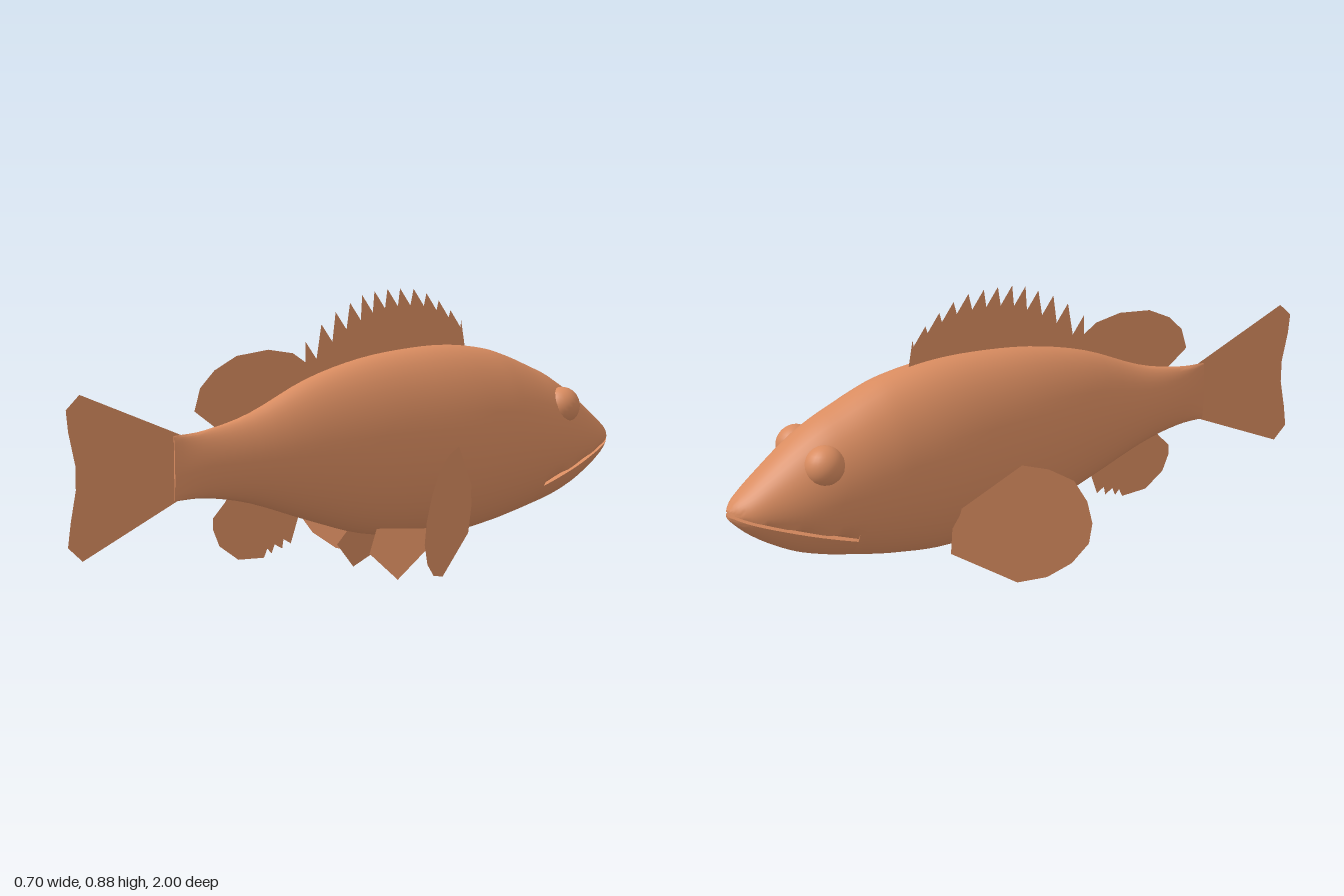
import * as THREE from 'three';
import { toCreasedNormals } from 'three/addons/utils/BufferGeometryUtils.js';

const skin = new THREE.MeshStandardMaterial({ color: 0xd98c60, side: THREE.DoubleSide });
skin.name = 'copper skin';

const SIDES = 36, STEPS = 4, MOUTH_KEY = 9;

// Body stations from tail to snout: z, top, bottom, half width
const KEYS = [
  [0.655, 0.495, 0.305, 0.006], [0.55, 0.503, 0.303, 0.034], [0.4, 0.54, 0.272, 0.066],
  [0.2, 0.625, 0.2, 0.105], [0, 0.675, 0.135, 0.136], [-0.2, 0.695, 0.108, 0.156],
  [-0.35, 0.694, 0.102, 0.165], [-0.48, 0.675, 0.118, 0.164], [-0.56, 0.65, 0.133, 0.16],
  [-0.645, 0.614, 0.153, 0.153], [-0.72, 0.58, 0.172, 0.143], [-0.8, 0.53, 0.2, 0.125],
  [-0.88, 0.47, 0.243, 0.099], [-0.94, 0.422, 0.285, 0.073], [-0.975, 0.394, 0.317, 0.045],
  [-0.997, 0.37, 0.342, 0.012],
];
const upper = new THREE.CatmullRomCurve3(KEYS.map(k => new THREE.Vector3(k[3], k[1], k[0])), false, 'catmullrom');
const lower = new THREE.CatmullRomCurve3(KEYS.map(k => new THREE.Vector3(k[3], k[2], k[0])), false, 'catmullrom');
const mouthY = z => 0.237 + (-0.645 - z) * 0.345;

// Oval section; side +1 keeps what lies above the mouth, -1 what lies below
function ring(step, side = 0) {
  const t = step / ((KEYS.length - 1) * STEPS);
  const a = upper.getPoint(t), b = lower.getPoint(t);
  const cy = (a.y + b.y) / 2, h = (a.y - b.y) / 2, w = a.x;
  const cut = mouthY(a.z) + side * 0.005;
  const limit = w * Math.sqrt(Math.max(0, 1 - ((cut - cy) / h) ** 2));
  const points = [];
  for (let j = 0; j < SIDES; j++) {
    const angle = j / SIDES * Math.PI * 2;
    let x = w * Math.sin(angle), y = cy + h * Math.cos(angle);
    if (side && (y - cut) * side < 0) {
      y = cut;
      x = THREE.MathUtils.clamp(x, -limit, limit);
    }
    points.push([x, y, a.z]);
  }
  return points;
}

// Closed skin through a list of rings
function loft(rings) {
  const pos = rings.flat(2), index = [], last = rings.length - 1;
  const at = (i, j) => i * SIDES + j % SIDES;
  for (let i = 0; i < last; i++) {
    for (let j = 0; j < SIDES; j++) {
      index.push(at(i, j), at(i, j + 1), at(i + 1, j), at(i, j + 1), at(i + 1, j + 1), at(i + 1, j));
    }
  }
  for (const i of [0, last]) {
    const c = pos.length / 3;
    const mid = [0, (rings[i][0][1] + rings[i][SIDES / 2][1]) / 2, rings[i][0][2]];
    pos.push(...mid);
    for (let j = 0; j < SIDES; j++) {
      index.push(c, ...(i ? [at(i, j), at(i, j + 1)] : [at(i, j + 1), at(i, j)]));
    }
  }
  const geo = new THREE.BufferGeometry();
  geo.setAttribute('position', new THREE.Float32BufferAttribute(pos, 3));
  geo.setIndex(index);
  return toCreasedNormals(geo, 0.7);
}

const outline = pts => new THREE.ShapeGeometry(new THREE.Shape(pts.map(p => new THREE.Vector2(...p))));
// Fin on the middle plane, outlined as z, y
const sideFin = pts => outline(pts).rotateY(-Math.PI / 2);

// Move each vertex by a rule along one axis
function lean(geo, rule) {
  const p = geo.attributes.position;
  for (let i = 0; i < p.count; i++) p.setXYZ(i, ...rule(p.getX(i), p.getY(i), p.getZ(i)));
  geo.computeVertexNormals();
  return geo;
}

export function createModel() {
  const model = new THREE.Group();
  model.name = 'fish';
  const add = (name, geo, parent = model) => {
    const mesh = new THREE.Mesh(geo, skin);
    mesh.name = name;
    parent.add(mesh);
    return mesh;
  };

  // Body with the upper head, and the lower jaw below the mouth slit
  const mouthStep = MOUTH_KEY * STEPS, end = (KEYS.length - 1) * STEPS;
  const bodyRings = [], jawRings = [];
  for (let s = 0; s <= mouthStep; s++) bodyRings.push(ring(s));
  for (let s = mouthStep; s <= end; s++) {
    bodyRings.push(ring(s, 1));
    jawRings.push(ring(s, -1));
  }
  add('body', loft(bodyRings));
  add('lowerJaw', loft(jawRings));

  // Tail fin
  add('tailFin', sideFin([
    [0.62, 0.49], [0.635, 0.498], [0.955, 0.637], [0.998, 0.597], [0.992, 0.535], [0.972, 0.44],
    [0.972, 0.37], [0.99, 0.28], [1, 0.21], [0.955, 0.166], [0.645, 0.305], [0.62, 0.31],
  ]));

  // Soft rear part of the back fin
  add('softDorsalFin', sideFin([
    [0.5, 0.48], [0.516, 0.508], [0.585, 0.56], [0.565, 0.626], [0.516, 0.674], [0.44, 0.711],
    [0.33, 0.722], [0.243, 0.706], [0.195, 0.674], [0.19, 0.58], [0.35, 0.52],
  ]));

  // Spiny front part: swept-back tips with a notch in front of each
  const tips = [
    [0.198, 0.738], [0.14, 0.786], [0.088, 0.82], [0.035, 0.845], [-0.01, 0.866], [-0.056, 0.876], [-0.105, 0.88],
    [-0.153, 0.88], [-0.205, 0.876], [-0.255, 0.86], [-0.303, 0.835], [-0.35, 0.802], [-0.393, 0.768],
  ];
  const spines = [[0.2, 0.58]];
  tips.forEach(([z, y], i) => {
    spines.push([z, y]);
    if (i < tips.length - 1) spines.push([z - 0.04, y - 0.055]);
  });
  spines.push([-0.408, 0.685], [-0.39, 0.64], [0, 0.62]);
  add('spinyDorsalFin', sideFin(spines));

  // Anal fin with three short spines
  add('analFin', sideFin([
    [0.45, 0.34], [0.485, 0.283], [0.527, 0.24], [0.527, 0.208], [0.505, 0.155], [0.44, 0.107],
    [0.35, 0.102], [0.338, 0.128], [0.323, 0.112], [0.312, 0.138], [0.285, 0.122], [0.28, 0.15],
    [0.254, 0.134], [0.227, 0.21], [0.22, 0.3],
  ]));

  // Paired parts
  for (const side of [1, -1]) {
    const half = new THREE.Group();
    half.name = side > 0 ? 'leftParts' : 'rightParts';
    half.scale.x = side;
    model.add(half);

    const eye = add('eye', new THREE.SphereGeometry(0.06, 24, 16), half);
    eye.position.set(0.094, 0.482, -0.733);
    eye.scale.x = 0.95;

    const pectoral = outline([
      [0.13, 0.24], [0.147, 0.272], [0.26, 0.421], [0.3, 0.408], [0.335, 0.37], [0.348, 0.3],
      [0.348, 0.225], [0.335, 0.155], [0.3, 0.085], [0.255, 0.035], [0.205, 0.015], [0.111, 0.115],
    ]);
    add('pectoralFin', lean(pectoral, (x, y) => [x, y, -0.485 + 1.583 * x - 0.254 * y]), half);

    const pelvic = sideFin([[-0.02, 0.155], [0.024, 0.088], [-0.06, 0.002], [-0.27, 0.12], [-0.25, 0.155]]);
    add('pelvicFin', lean(pelvic, (x, y, z) => [0.117 - 0.36 * y, y, z]), half);
  }
  return model;
}
